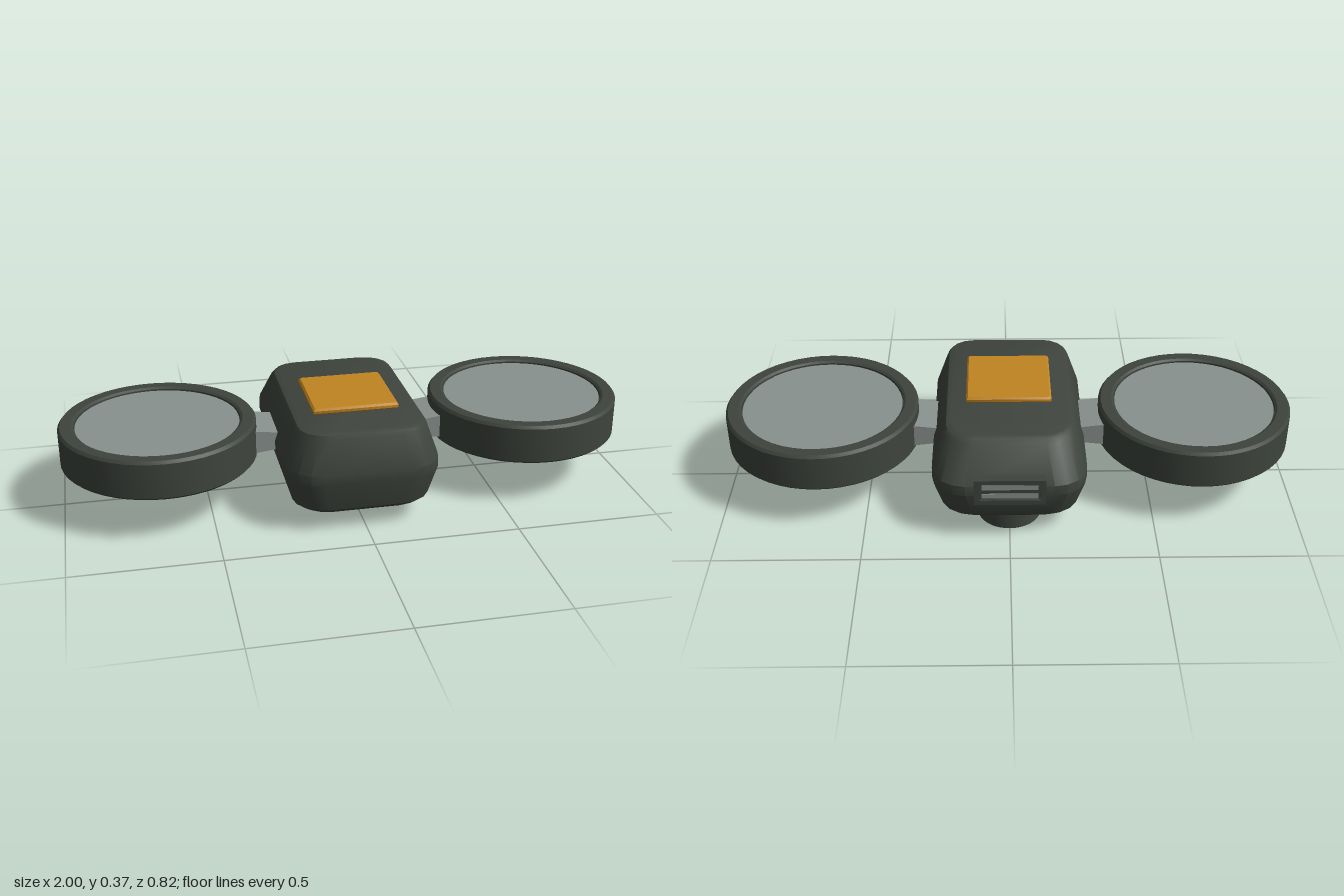
import * as THREE from 'three';
import { toCreasedNormals } from 'three/addons/utils/BufferGeometryUtils.js';

const dark = new THREE.MeshStandardMaterial({ color: 0x3e443d });
dark.name = 'dark olive casing';
const grey = new THREE.MeshStandardMaterial({ color: 0x89918f });
grey.name = 'cool grey';
const amber = new THREE.MeshStandardMaterial({ color: 0xc08420 });
amber.name = 'amber';

function add(parent, name, geometry, material, x = 0, y = 0, z = 0) {
  const mesh = new THREE.Mesh(geometry, material);
  mesh.name = name;
  mesh.position.set(x, y, z);
  parent.add(mesh);
  return mesh;
}

// Closed solid through stacked rounded rectangles: [y, halfWidth, zBack, zFront, cornerRadius]
function loft(levels, segments = 4) {
  const pos = [], index = [], n = 4 * (segments + 1);
  for (const [y, w, back, front, r] of levels) {
    const corners = [[w - r, back + r], [r - w, back + r], [r - w, front - r], [w - r, front - r]];
    corners.forEach(([cx, cz], k) => {
      for (let s = 0; s <= segments; s++) {
        const a = (k + s / segments) * Math.PI / 2;
        pos.push(cx + r * Math.cos(a), y, cz - r * Math.sin(a));
      }
    });
  }
  for (let i = 0; i < levels.length - 1; i++) {
    for (let j = 0; j < n; j++) {
      const a = i * n + j, b = i * n + (j + 1) % n;
      index.push(a, b, b + n, a, b + n, a + n);
    }
  }
  const last = (levels.length - 1) * n;
  for (let j = 1; j < n - 1; j++) {
    index.push(0, j + 1, j, last, last + j, last + j + 1);
  }
  const g = new THREE.BufferGeometry();
  g.setAttribute('position', new THREE.Float32BufferAttribute(pos, 3));
  g.setIndex(index);
  return toCreasedNormals(g, 0.5);
}

function lathe(points, sides) {
  const g = new THREE.LatheGeometry(points.map(p => new THREE.Vector2(...p)), sides);
  return toCreasedNormals(g, 0.5);
}

export function createModel() {
  const model = new THREE.Group();
  model.name = 'twinPodDevice';

  // Faceted casing, widest around its waist
  add(model, 'body', loft([
    [0.064, 0.215, -0.345, 0.367, 0.1],
    [0.08, 0.237, -0.362, 0.384, 0.11],
    [0.185, 0.264, -0.399, 0.41, 0.115],
    [0.22, 0.264, -0.395, 0.41, 0.115],
    [0.335, 0.225, -0.315, 0.376, 0.1],
    [0.348, 0.215, -0.3, 0.37, 0.09],
    [0.354, 0.2, -0.285, 0.355, 0.08],
  ]), dark);

  // Raised square pad on top
  add(model, 'topPad', loft([
    [0.35, 0.142, -0.08, 0.205, 0.006],
    [0.358, 0.148, -0.086, 0.212, 0.006],
    [0.367, 0.148, -0.086, 0.212, 0.006],
    [0.374, 0.142, -0.08, 0.205, 0.006],
  ], 2), amber);

  // Short foot under the rear
  add(model, 'foot', new THREE.CylinderGeometry(0.11, 0.11, 0.075, 40), dark, 0, 0.0375, -0.227);

  // Rear port: rectangular frame with two slats
  const port = new THREE.Group();
  port.name = 'rearPort';
  model.add(port);
  for (const side of [-1, 1]) {
    add(port, 'portRail', new THREE.BoxGeometry(0.24, 0.018, 0.054), dark, 0, 0.204 + side * 0.04, -0.382);
    add(port, 'portPost', new THREE.BoxGeometry(0.018, 0.098, 0.054), dark, side * 0.111, 0.204, -0.382);
    add(port, 'portSlat', new THREE.BoxGeometry(0.19, 0.018, 0.04), grey, 0, 0.204 + side * 0.017, -0.384);
  }
  add(port, 'portBacking', new THREE.BoxGeometry(0.22, 0.08, 0.05), dark, 0, 0.204, -0.376);

  // Round pods and their flared arms on both sides
  const podProfile = [
    [0, 0.16], [0.332, 0.16], [0.34, 0.168], [0.34, 0.29],
    [0.332, 0.3], [0.294, 0.3], [0.286, 0.294], [0.286, 0.28], [0, 0.28],
  ];
  for (const side of [-1, 1]) {
    const pod = new THREE.Group();
    pod.name = side > 0 ? 'leftPod' : 'rightPod';
    model.add(pod);
    add(pod, 'podShell', lathe(podProfile, 48), dark, side * 0.66, 0, 0.011);
    add(pod, 'podDisc', new THREE.CylinderGeometry(0.282, 0.282, 0.008, 48), grey, side * 0.66, 0.286, 0.011);

    // Arm, taller at the pod end
    const arm = new THREE.BoxGeometry(0.12, 0.056, 0.18);
    const p = arm.attributes.position;
    for (let i = 0; i < p.count; i++) {
      if (p.getX(i) * side > 0) p.setY(i, p.getY(i) * 1.5);
    }
    arm.computeVertexNormals();
    add(pod, 'arm', arm, grey, side * 0.285, 0.218, 0.006);
  }
  return model;
}
